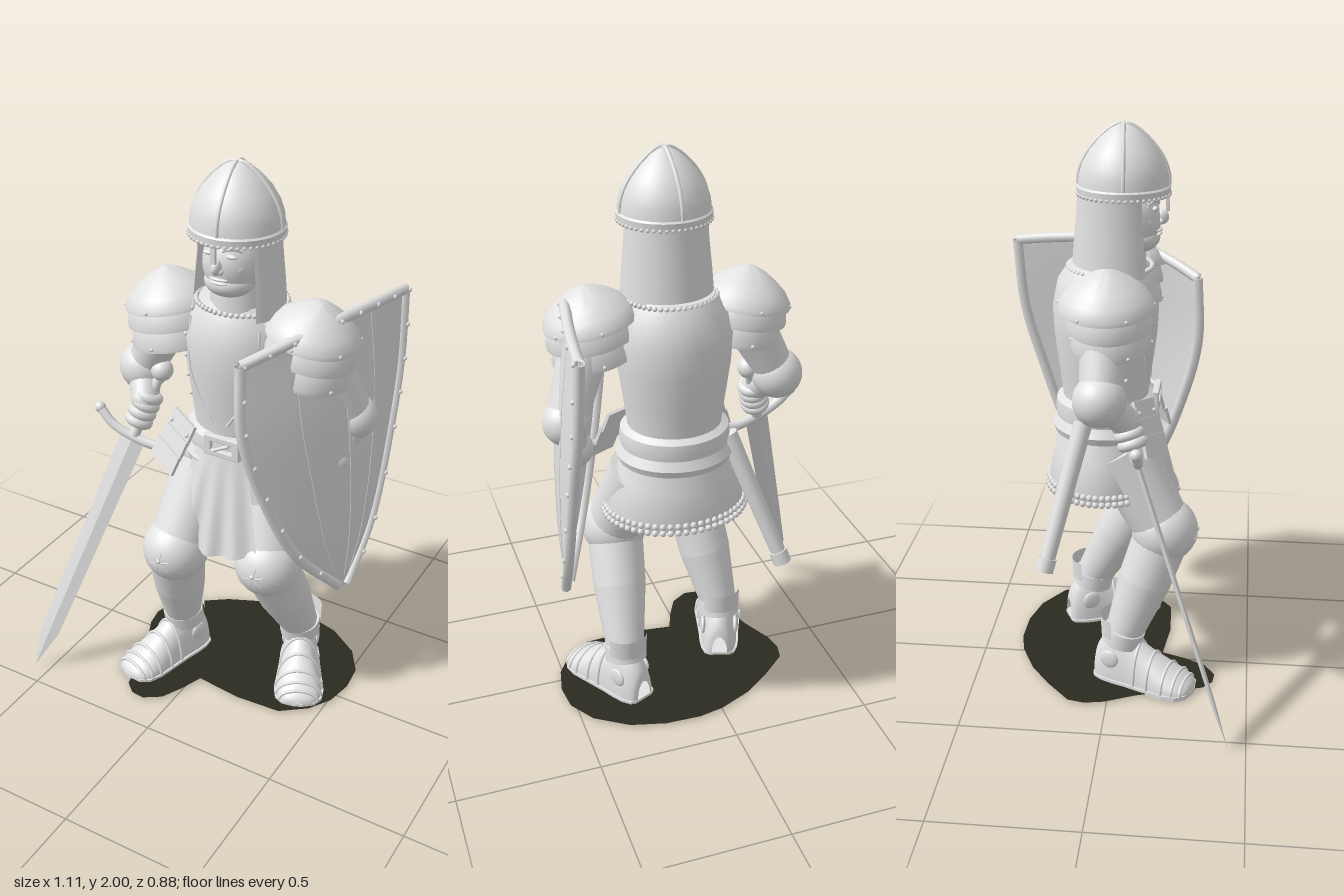
import * as THREE from 'three';
import { mergeGeometries, toCreasedNormals } from 'three/addons/utils/BufferGeometryUtils.js';

const V = (x, y, z) => new THREE.Vector3(x, y, z);
const P = a => a.map(p => new THREE.Vector2(p[0], p[1]));

export function createModel() {
  const root = new THREE.Group();
  const steel = new THREE.MeshStandardMaterial({ color: 0xe2e2e2, side: THREE.DoubleSide });
  steel.name = 'steel';
  const dark = new THREE.MeshStandardMaterial({ color: 0x2b2a20, side: THREE.DoubleSide });
  dark.name = 'dark ground';

  // ---- helpers
  const add = (name, geo, pos = [0, 0, 0], parent = root, mat = steel) => {
    const m = new THREE.Mesh(geo, mat);
    m.name = name;
    m.position.set(...pos);
    parent.add(m);
    return m;
  };
  const ball = (name, pos, r, scale = [1, 1, 1], parent = root) => {
    const m = add(name, new THREE.SphereGeometry(r, 28, 18), pos, parent);
    m.scale.set(...scale);
    return m;
  };
  const limb = (name, a, b, ra, rb, parent = root) => {
    const A = V(...a), B = V(...b), d = B.clone().sub(A);
    const m = add(name, new THREE.CylinderGeometry(rb, ra, d.length(), 24), A.clone().add(B).multiplyScalar(0.5).toArray(), parent);
    m.quaternion.setFromUnitVectors(V(0, 1, 0), d.normalize());
    return m;
  };
  const tube = (name, pts, r, parent = root) =>
    add(name, new THREE.TubeGeometry(new THREE.CatmullRomCurve3(pts), pts.length * 5, r, 8), [0, 0, 0], parent);
  const beads = (name, pts, r, parent = root) =>
    add(name, mergeGeometries(pts.map(p => new THREE.SphereGeometry(r, 8, 6).translate(p.x, p.y, p.z))), [0, 0, 0], parent);
  const ring = (n, cx, y, cz, rx, rz) => Array.from({ length: n }, (_, i) => {
    const a = i / n * Math.PI * 2;
    return V(cx + rx * Math.sin(a), y, cz + rz * Math.cos(a));
  });
  const lathe = (name, prof, pos, depth = 1, parent = root) => {
    const m = add(name, toCreasedNormals(new THREE.LatheGeometry(P(prof), 40), 0.6), pos, parent);
    m.scale.z = depth;
    return m;
  };
  const grid = (fn, nu, nv) => { // surface from fn(u, v), u and v in 0..1
    const g = new THREE.PlaneGeometry(1, 1, nu, nv), p = g.attributes.position, uv = g.attributes.uv;
    for (let i = 0; i < p.count; i++) p.setXYZ(i, ...fn(uv.getX(i), 1 - uv.getY(i)).toArray());
    g.computeVertexNormals();
    return g;
  };

  // ---- ground
  const outline = P([[0, -.352], [.09, -.37], [.22, -.366], [.345, -.333], [.46, -.255], [.52, -.16], [.53, -.06], [.51, .04], [.46, .12], [.37, .19],
    [.2, .2], [.03, .18], [0, .26], [-.04, .34], [-.1, .38], [-.15, .375], [-.19, .34], [-.22, .24], [-.265, .1], [-.315, -.01], [-.328, -.08], [-.315, -.14], [-.22, -.225], [-.12, -.298]]);
  add('ground', new THREE.ShapeGeometry(new THREE.Shape(outline)).rotateX(Math.PI / 2), [0, .008, 0], root, dark);

  // ---- torso, belt and skirt
  const cx = .075, cz = -.04, td = .92;
  const torso = [[0, .98], [.16, .98], [.165, 1.06], [.177, 1.15], [.195, 1.28], [.2, 1.38], [.18, 1.47], [.14, 1.525], [0, 1.55]];
  lathe('cuirass', torso, [cx, 0, cz], td);
  const front = (x, y) => {
    const i = torso.findIndex((p, k) => k > 1 && p[1] >= y);
    const [a, b] = [torso[i - 1], torso[i]], r = a[0] + (b[0] - a[0]) * (y - a[1]) / (b[1] - a[1]);
    return V(cx + x, y, cz + td * Math.sqrt(Math.max(0, r * r - x * x)) + .002);
  };
  for (const s of [-1, 1]) {
    tube('breastplateEdge', [[.13, 1.46], [.125, 1.3], [.09, 1.2], [.03, 1.1]].map(([x, y]) => front(s * x, y)), .005);
    beads('breastplateRivets', [1.15, 1.23, 1.31, 1.39].map(y => front(s * .152, y)), .008);
  }
  beads('mailCollar', ring(50, cx + .005, 1.515, -.025, .155, .145), .009);
  lathe('belt', [[.165, .97], [.19, .98], [.194, 1.01], [.19, 1.04], [.165, 1.055]], [cx, 0, cz], td);
  lathe('backRoll', [[.165, .915], [.198, .922], [.208, .948], [.19, .98]], [cx, 0, cz], td);
  const buckle = new THREE.Shape(P([[-.065, -.035], [.065, -.035], [.065, .035], [-.065, .035]]));
  buckle.holes.push(new THREE.Path(P([[-.045, -.02], [-.045, .02], [.045, .02], [.045, -.02]])));
  add('beltBuckle', new THREE.ExtrudeGeometry(buckle, { depth: .015, bevelSize: .004, bevelThickness: .004, bevelSegments: 2 }), [.1, 1.03, .132]);
  limb('bucklePin', [.075, 1.015, .149], [.13, 1.045, .149], .006, .006);
  lathe('skirt', [[0, .72], [.245, .72], [.25, .74], [.218, .86], [.178, .98]], [cx, 0, cz], .83);
  for (const k of [0, 1])
    beads('mailHem', ring(58, cx, .722 + k * .022, cz, .254 - k * .005, .21 - k * .005).filter(p => p.z < 0 || Math.abs(p.x - .085) > .15), .012);

  // front cloth with folds
  add('frontCloth', grid((u, v) => {
    const s = u * 2 - 1;
    return V(.085 + s * (.1 + .08 * v), .99 - v * (.365 - .035 * s * s),
      .145 + .07 * v - s * s * .03 + .012 * v * Math.cos(s * 11));
  }, 36, 14));

  // hip plates
  const tassets = [[-.1, .985, .125, -.4, -.2], [.265, .96, .11, .6, .12]];
  for (const [x, y, z, ry, rz] of tassets) {
    const g = new THREE.Group();
    g.name = 'hipPlate';
    g.position.set(x, y, z);
    g.rotation.set(-.35, ry, rz, 'YXZ');
    root.add(g);
    for (let i = 0; i < 3; i++)
      add('hipLame', new THREE.BoxGeometry(.13 + .006 * i, .075, .012), [0, .065 - i * .062, i * .006], g);
    beads('hipRivets', [-.05, .05].map(k => V(k, .06, .008)), .008, g);
  }

  // ---- head
  const hx = .085;
  ball('face', [hx, 1.675, .035], .11, [.93, 1.12, 1.02]);
  ball('jaw', [hx, 1.615, .065], .07, [1.22, .75, 1.15]);
  limb('neck', [hx, 1.5, 0], [hx, 1.66, 0], .1, .09);
  ball('nose', [hx, 1.685, .15], .016, [1, 1.6, 1.5]);
  for (const s of [-1, 1]) {
    ball('eye', [hx + s * .042, 1.722, .13], .016, [1.25, .5, .6]);
    tube('brow', [V(hx + s * .014, 1.74, .14), V(hx + s * .04, 1.748, .13), V(hx + s * .07, 1.737, .105)], .006);
    ball('cheek', [hx + s * .05, 1.675, .1], .03, [.9, 1, .9]);
    ball('nostril', [hx + s * .012, 1.672, .148], .011);
  }
  for (const y of [1.63, 1.643]) ball('lip', [hx, y, .14], .034, [1, .18, .35]);
  add('noseGuard', new THREE.BoxGeometry(.016, .08, .012), [hx, 1.745, .17]);

  // neck guard, open at the face
  add('neckGuard', new THREE.LatheGeometry(P([[.136, 1.78], [.14, 1.7], [.15, 1.6], [.158, 1.5]]), 32, .85, Math.PI * 2 - 1.7), [hx, 0, 0]);
  // helmet with crossed ridges
  const dome = [[.158, 1.765], [.16, 1.79], [.154, 1.796], [.151, 1.83], [.138, 1.87], [.113, 1.912], [.08, 1.95], [.045, 1.98], [.018, 1.994], [0, 1.998]];
  lathe('helmet', dome, [hx, 0, .02], 1);
  beads('helmetRimBeads', ring(48, hx, 1.766, .02, .156, .156), .007);
  const arc = dome.slice(2, 9);
  for (const a of [.08, .08 + Math.PI / 2]) {
    const m = tube('helmetRidge', [...arc.map(([r, y]) => V(-r, y, 0)), V(0, 1.993, 0), ...arc.slice().reverse().map(([r, y]) => V(r, y, 0))], .007);
    m.position.set(hx, 0, .02);
    m.rotation.y = a;
  }

  // ---- shoulders
  for (const [s, x] of [[-1, -.19], [1, .355]]) {
    const g = new THREE.Group();
    g.name = 'shoulderArmor';
    g.position.set(x, 1.465, -.01);
    g.rotation.z = -s * .18;
    root.add(g);
    lathe('shoulderDome', [[0, .112], [.02, .108], [.06, .089], [.1, .062], [.135, .032], [.157, 0], [.159, -.015], [.14, -.02]], [0, 0, 0], 1, g);
    lathe('upperLame', [[.12, .01], [.143, -.018], [.155, -.066], [.155, -.08], [.13, -.086]], [s * .006, 0, .008], .92, g);
    lathe('lowerLame', [[.11, -.05], [.132, -.084], [.145, -.138], [.144, -.152], [.12, -.158], [0, -.14]], [s * .01, 0, .015], .93, g);
    beads('shoulderRivets', ring(6, 0, -.004, 0, .156, .156), .007, g);
    beads('lameRivets', ring(6, s * .01, -.138, .015, .144, .134), .007, g);
  }

  // ---- arms
  const arms = [
    ['right', [-.21, 1.36, -.01], [-.312, 1.165, -.02], [-.262, 1.08, .06], .09, .05],
    ['left', [.385, 1.36, -.03], [.472, 1.14, -.105], [.435, 1.005, -.045], .08, .066]];
  for (const [n, a, b, c, r, hand] of arms) {
    limb(n + 'UpperArm', a, b, .085, .068);
    ball(n + 'Elbow', b, r);
    limb(n + 'Forearm', b, c, .062, .05);
    ball(n + 'Hand', c, hand);
  }

  // ---- sword: local y runs along the grip, blade points down
  const sword = new THREE.Group();
  sword.name = 'sword';
  const yAxis = V(.26, .907, -.33).normalize(), zAxis = V(.94, -.32, -.14).cross(yAxis).normalize();
  sword.quaternion.setFromRotationMatrix(new THREE.Matrix4().makeBasis(yAxis.clone().cross(zAxis), yAxis, zAxis));
  sword.position.set(-.287, .945, .1);
  root.add(sword);
  const blade = (name, r0, r1, y0, y1) => {
    const m = add(name, toCreasedNormals(new THREE.CylinderGeometry(r0, r1, y0 - y1, 4), .2), [0, (y0 + y1) / 2, 0], sword);
    m.scale.z = .22;
  };
  blade('blade', .047, .036, 0, -.86);
  blade('bladeTip', .036, .001, -.86, -1.02);
  tube('crossGuard', [V(-.155, .035, 0), V(-.09, .002, 0), V(0, -.008, 0), V(.09, .002, 0), V(.155, .035, 0)], .018, sword);
  for (const s of [-1, 1]) ball('guardTip', [s * .155, .035, 0], .02, [1, 1, 1], sword);
  limb('grip', [0, 0, 0], [0, .24, 0], .02, .018, sword);
  ball('pommel', [0, .265, 0], .04, [1, 1, 1], sword);
  for (let i = 0; i < 4; i++)
    add('finger', new THREE.TorusGeometry(.034, .019, 10, 20).rotateX(Math.PI / 2), [-.005, .06 + i * .033, .005], sword);

  // ---- scabbard
  limb('scabbard', [-.1, 1, -.1], [-.265, .53, -.215], .034, .027);
  limb('scabbardTip', [-.258, .55, -.21], [-.272, .505, -.222], .033, .033);

  // ---- shield: front edge, middle and rear edge, joined by a soft bend
  const curve = a => new THREE.CatmullRomCurve3(a.map(p => V(...p)));
  const F = curve([[.24, 1.43, .27], [.25, 1.19, .275], [.3, .93, .215], [.38, .66, .11], [.475, .47, -.045]]);
  const C = curve([[.435, 1.52, -.01], [.482, 1.22, -.02], [.503, .96, -.035], [.505, .68, -.05], [.487, .46, -.06]]);
  const R = curve([[.495, 1.49, -.42], [.505, 1.24, -.4], [.512, 1, -.335], [.512, .68, -.22], [.495, .47, -.075]]);
  const shieldAt = (u, v) => {
    const s = u * 2 - 1, a = Math.abs(s), bend = .4 * (a - s * s); // 0 would be a sharp fold
    const f = Math.max(0, -s) - bend / 2, r = Math.max(0, s) - bend / 2;
    return F.getPoint(v).multiplyScalar(f).add(C.getPoint(v).multiplyScalar(1 - f - r)).add(R.getPoint(v).multiplyScalar(r));
  };
  add('shield', grid(shieldAt, 24, 32));
  const steps = n => Array.from({ length: n + 1 }, (_, i) => i / n);
  for (const u of [0, 1]) {
    tube('shieldSideRim', steps(16).map(t => shieldAt(u, t)), .019);
    beads('shieldRivets', steps(8).slice(1, 8).map(t => shieldAt(u, t).add(V(.017, 0, 0))), .009);
  }
  tube('shieldTopRim', steps(10).map(t => shieldAt(t, 0)), .019);
  beads('shieldTopRivets', steps(8).map(t => shieldAt(t, 0).add(V(.017, 0, 0))), .009);
  for (const u of [.27, .5, .73]) tube('shieldSeam', steps(14).map(t => shieldAt(u, t * .93)), .002);

  // ---- legs and feet
  const sections = [[-.09, .03, .09], [-.08, .048, .13], [-.045, .062, .18], [0, .068, .2], [.05, .07, .182], [.12, .077, .138], [.2, .085, .092], [.25, .078, .065], [.28, .052, .042], [.292, .006, .02]];
  const footCurve = new THREE.CatmullRomCurve3(sections.map(([z, w, h]) => V(w, h, z)));
  const footAt = (u, v, grow = 0) => {
    const p = footCurve.getPoint(v), a = u * Math.PI;
    return V((p.x + grow) * Math.cos(a), .015 + (p.y - .015 + grow) * Math.sin(a), p.z);
  };
  const soleShape = new THREE.Shape([...sections.map(([z, w]) => new THREE.Vector2(w + .008, z)), ...sections.slice().reverse().map(([z, w]) => new THREE.Vector2(-w - .008, z))]);
  const legs = [
    ['right', [-.03, .87, .02], [-.065, .585, .185], [-.125, .2, .05], -.32],
    ['left', [.19, .87, -.03], [.265, .585, .1], [.295, .2, -.11], .45]];
  for (const [n, hip, knee, ankle, turn] of legs) {
    limb(n + 'Thigh', hip, knee, .118, .104);
    ball(n + 'Knee', knee, .119);
    beads(n + 'KneeStud', [V(knee[0], knee[1] + .008, knee[2] + .115)], .01);
    for (let i = 0; i < 6; i++) { // star of creases around the stud
      const a = i * Math.PI / 3 + .3;
      tube(n + 'KneeCrease', [.1, .25, .38].map(t => V(knee[0] + .118 * Math.sin(t) * Math.cos(a), knee[1] + .118 * Math.sin(t) * Math.sin(a), knee[2] + .118 * Math.cos(t))), .0025);
    }
    const k = V(...knee), d = V(...ankle).sub(k), mid = k.clone().addScaledVector(d, .5);
    limb(n + 'Calf', knee, mid.toArray(), .102, .096);
    limb(n + 'Shin', mid.toArray(), ankle, .096, .07);
    tube(n + 'ShinRidge', [.26, .5, .75, .97].map(t => k.clone().addScaledVector(d, t).add(V(0, .012, .1 - .012 * t - .04 * Math.max(0, t - .5)))), .006);
    limb(n + 'AnkleCuff', [ankle[0], .15, ankle[2] - .012], [ankle[0], .205, ankle[2]], .076, .076);
    add(n + 'HeelGuard', new THREE.CylinderGeometry(.08, .077, .075, 20, 1, true, Math.PI * .65, Math.PI * .7), [ankle[0], .225, ankle[2] - .01]);
    const foot = new THREE.Group();
    foot.name = n + 'Foot';
    foot.position.set(ankle[0], 0, ankle[2] - .02);
    foot.rotation.y = turn;
    root.add(foot);
    add('shoe', grid((u, v) => footAt(1 - u, 1 - v), 20, 36), [0, 0, 0], foot);
    add('sole', new THREE.ExtrudeGeometry(soleShape, { depth: .016, bevelEnabled: false }).rotateX(Math.PI / 2), [0, .018, 0], foot);
    for (const v of [.5, .58, .66, .74, .82]) tube('shoeBand', steps(10).map(u => footAt(u, v, .001)), .006, foot);
    for (const s of [-1, 1]) ball('ankleDisc', [s * .062, .1, -.015], .035, [.3, 1, 1], foot);
  }
  return root;
}
